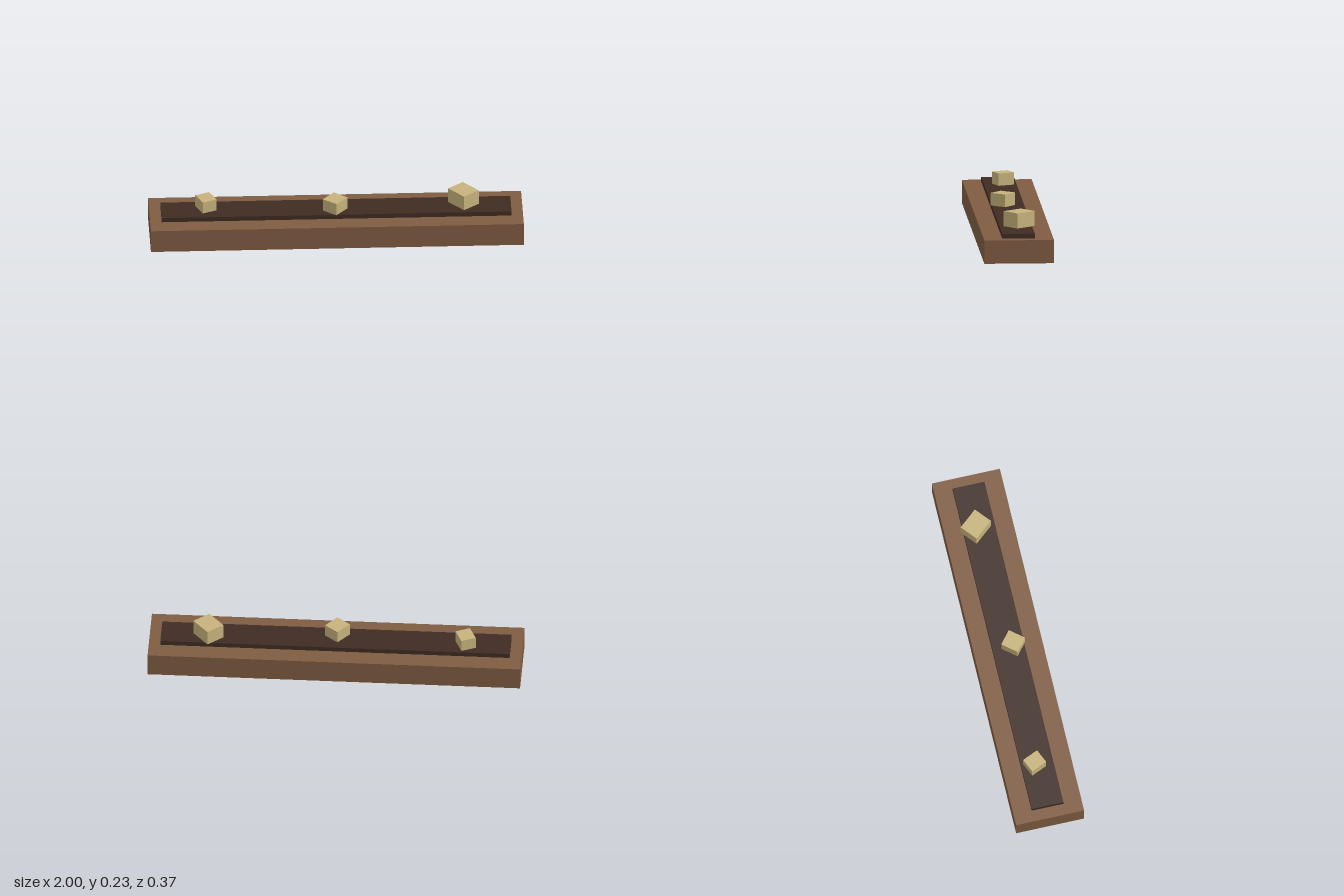
import * as THREE from 'three';

// Box standing on y = 0 with no bottom face
function openBox(width, height, depth) {
  const geometry = new THREE.BoxGeometry(width, height, depth).translate(0, height / 2, 0);
  const index = Array.from(geometry.index.array);
  index.splice(18, 6); // the six indices of the downward face
  geometry.setIndex(index);
  geometry.clearGroups();
  return geometry;
}

export function createModel() {
  const model = new THREE.Group();
  model.name = 'planterTrough';

  const wood = new THREE.MeshStandardMaterial({ color: 0x7f5c42, side: THREE.DoubleSide });
  wood.name = 'brown wood';
  const earth = new THREE.MeshStandardMaterial({ color: 0x3f2c23 });
  earth.name = 'dark soil';
  const straw = new THREE.MeshStandardMaterial({ color: 0xc6b27c });
  straw.name = 'pale straw';

  function add(name, geometry, material, x, y, z, turn = 0) {
    const mesh = new THREE.Mesh(geometry, material);
    mesh.name = name;
    mesh.position.set(x, y, z);
    mesh.rotation.y = turn;
    model.add(mesh);
  }

  // Hollow trough, open underneath
  add('trough', openBox(2, 0.126, 0.374), wood, 0, 0, 0);

  // Raised bed on top
  add('soil', openBox(1.876, 0.025, 0.175), earth, 0, 0.126, 0);

  // Turned blocks: name, x, z, width, height, depth, turn
  const blocks = [
    ['rightBlock', -0.697, -0.015, 0.082, 0.066, 0.093, 0.41],
    ['middleBlock', -0.006, 0.027, 0.091, 0.068, 0.097, -0.69],
    ['leftBlock', 0.684, -0.019, 0.107, 0.082, 0.127, 0.7],
  ];
  for (const [name, x, z, width, height, depth, turn] of blocks) {
    add(name, new THREE.BoxGeometry(width, height, depth), straw, x, 0.151 + height / 2, z, turn);
  }

  return model;
}
